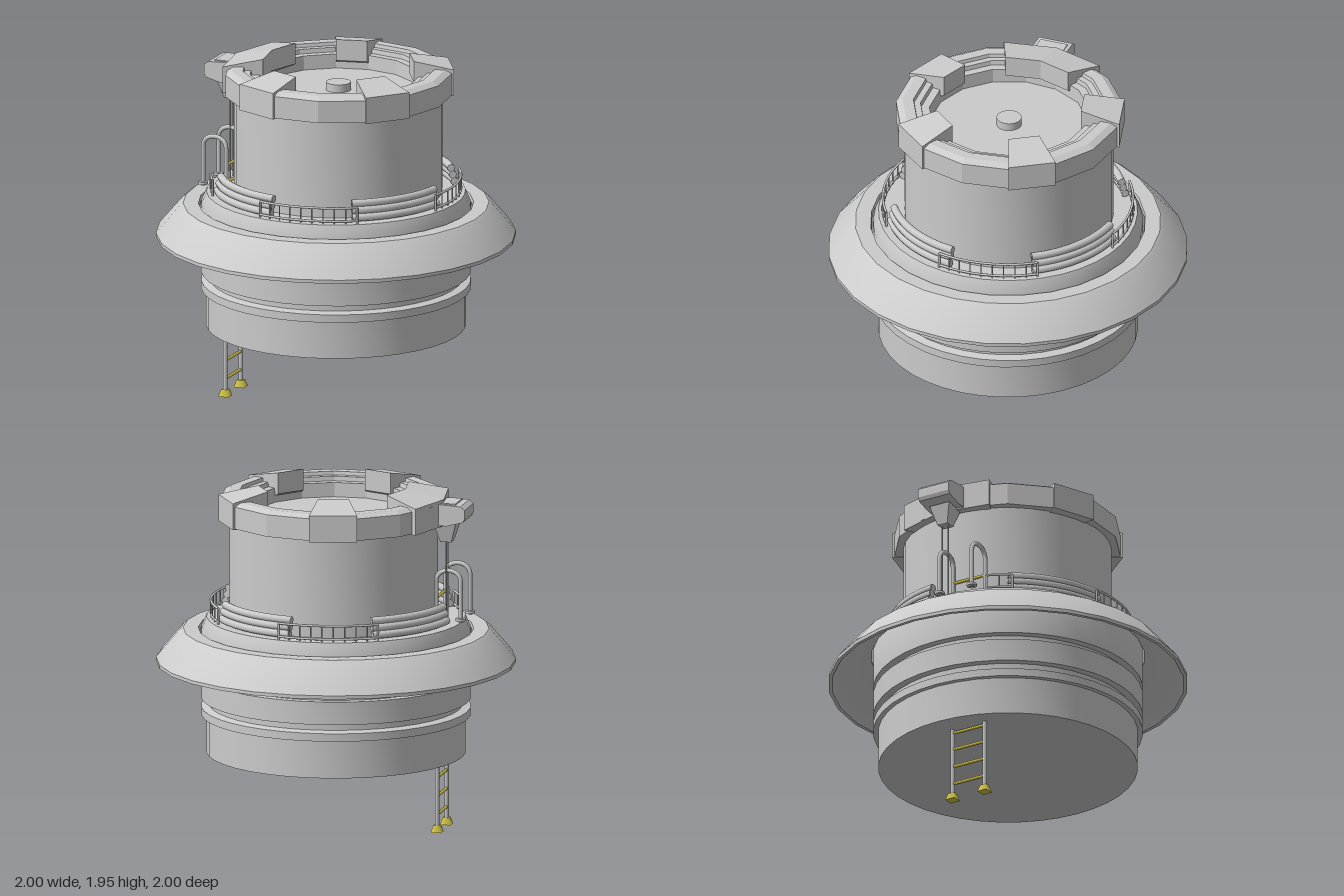
import * as THREE from 'three';
import { toCreasedNormals } from 'three/addons/utils/BufferGeometryUtils.js';

const DEG = Math.PI / 180;
const grey = new THREE.MeshStandardMaterial({ color: 0xcccccc, side: THREE.DoubleSide });
const facet = new THREE.MeshStandardMaterial({ color: 0xcccccc, side: THREE.DoubleSide, flatShading: true });
const yellow = new THREE.MeshStandardMaterial({ color: 0xd6c94c });

const vec = (x, y, z) => new THREE.Vector3(x, y, z);
const points = (list) => list.map(([x, y]) => new THREE.Vector2(x, y));

// Point on a circle around the axis; 0 degrees faces the front, 90 the model's left
const polar = (deg, r, y) => vec(r * Math.sin(deg * DEG), y, r * Math.cos(deg * DEG));

function add(parent, name, geometry, material = grey) {
  const mesh = new THREE.Mesh(geometry, material);
  mesh.name = name;
  parent.add(mesh);
  return mesh;
}

function group(parent, name) {
  const g = new THREE.Group();
  g.name = name;
  parent.add(g);
  return g;
}

// Smooth round part with sharp profile corners
const turned = (profile, segments) =>
  toCreasedNormals(new THREE.LatheGeometry(points(profile), segments), 30 * DEG);

// Straight rod between two points
function rod(parent, name, a, b, r, material = grey, sides = 8) {
  const d = b.clone().sub(a);
  const m = add(parent, name, new THREE.CylinderGeometry(r, r, d.length(), sides), material);
  m.position.copy(a).add(b).multiplyScalar(0.5);
  m.quaternion.setFromUnitVectors(vec(0, 1, 0), d.normalize());
  return m;
}

// Bent tube following an arc around the axis
function arcTube(parent, name, from, to, r, y, thickness) {
  const path = [];
  for (let i = 0; i <= 8; i++) path.push(polar(from + (to - from) * i / 8, r, y));
  add(parent, name, new THREE.TubeGeometry(new THREE.CatmullRomCurve3(path), 20, thickness, 8));
  for (const [end, dir] of [[path[0], -1], [path[8], 1]]) {
    const cap = add(parent, name + 'Cap', new THREE.CircleGeometry(thickness, 8));
    cap.position.copy(end);
    cap.rotation.y = (dir < 0 ? from - 90 : to + 90) * DEG;
  }
}

// Part of a faceted ring with closed ends
function ringBlock(parent, name, profile, start, length, segments) {
  const g = group(parent, name);
  const loop = [...profile, profile[0]];
  add(g, 'blockSurface', new THREE.LatheGeometry(points(loop), segments, start * DEG, length * DEG), facet);
  for (const deg of [start, start + length]) {
    const end = new THREE.ShapeGeometry(new THREE.Shape(points(profile)));
    add(g, 'blockEnd', end.rotateY((deg - 90) * DEG), facet);
  }
}

export function createModel() {
  const model = new THREE.Group();

  // Lower hull with stepped bands and the sloping collar
  add(model, 'hull', turned([
    [0, 0.43], [0.722, 0.43], [0.722, 0.645], [0.75, 0.645], [0.75, 0.69], [0.705, 0.7],
    [0.705, 0.74], [0.75, 0.74], [0.75, 0.87], [0.705, 0.87], [0.705, 0.91], [0.75, 0.91],
    [0.75, 1.13], [0.72, 1.2], [0, 1.2]], 40));

  // Hollow skirt, open underneath
  add(model, 'skirt', turned([
    [0.76, 1.11], [0.94, 0.985], [0.98, 0.94], [1, 0.94], [1, 0.96], [0.98, 0.985],
    [0.87, 1.115], [0.85, 1.13], [0.765, 1.13], [0.76, 1.11]], 28));

  // Tower with its closed top and the round knob
  const tower = group(model, 'tower');
  tower.position.set(0.01, 0, -0.01);
  add(tower, 'towerBody', turned([[0.58, 1.19], [0.58, 1.78], [0, 1.78]], 40));
  const knob = add(tower, 'knob', new THREE.CylinderGeometry(0.07, 0.07, 0.05, 20));
  knob.position.y = 1.8;

  // Faceted crown with inner steps and five clamps
  const crown = group(tower, 'crown');
  add(crown, 'crownRing', new THREE.LatheGeometry(points([
    [0.57, 1.76], [0.632, 1.76], [0.632, 1.885], [0.595, 1.905], [0.535, 1.905], [0.53, 1.885],
    [0.495, 1.885], [0.49, 1.86], [0.445, 1.86], [0.44, 1.78]]), 15, -34 * DEG), facet);
  const clamp = [[0.42, 1.83], [0.56, 1.755], [0.645, 1.755], [0.645, 1.905], [0.42, 1.95]];
  for (let i = 0; i < 4; i++) ringBlock(crown, 'clamp', clamp, -34 + 72 * i, 24, 1);
  ringBlock(crown, 'wideClamp', clamp, -121, 54, 2);

  // Hoist housing on the right side of the crown, with funnel and cables
  const hoist = group(model, 'hoist');
  const side = new THREE.Shape(points([
    [-0.56, 1.765], [-0.66, 1.765], [-0.755, 1.79], [-0.765, 1.81], [-0.765, 1.86],
    [-0.74, 1.88], [-0.56, 1.89]]));
  const housing = add(hoist, 'housing', new THREE.ExtrudeGeometry(side, { depth: 0.2, bevelEnabled: false }), facet);
  housing.position.z = -0.11;
  const lid = add(hoist, 'housingLid', new THREE.BoxGeometry(0.085, 0.012, 0.16), facet);
  lid.position.set(-0.665, 1.884, -0.01);
  const funnel = add(hoist, 'funnel',
    new THREE.CylinderGeometry(0.09, 0.045, 0.11, 4).rotateY(45 * DEG), facet);
  funnel.position.set(-0.64, 1.715, -0.01);
  for (const z of [-0.03, 0.01]) rod(hoist, 'cable', vec(-0.64, 1.2, z), vec(-0.64, 1.68, z), 0.004);

  // Ladder below the hull
  const ladder = group(model, 'ladder');
  const railZ = [0, 0.21];
  for (const z of railZ) {
    rod(ladder, 'ladderRail', vec(-0.58, 0.03, z), vec(-0.58, 0.45, z), 0.013);
    const foot = add(ladder, 'ladderFoot', new THREE.CylinderGeometry(0.025, 0.042, 0.04, 4).rotateY(45 * DEG), yellow);
    foot.position.set(-0.58, 0.02, z);
  }
  for (const y of [0.1, 0.205, 0.31, 0.41])
    rod(ladder, 'rung', vec(-0.58, y, 0), vec(-0.58, y, 0.21), 0.009, yellow);

  // Boarding hoops at the head of the ladder
  const boarding = group(model, 'boardingHoops');
  for (const z of railZ) {
    const path = new THREE.CurvePath();
    path.add(new THREE.LineCurve3(vec(-0.715, 1.2, z), vec(-0.715, 1.43, z)));
    path.add(new THREE.CubicBezierCurve3(vec(-0.715, 1.43, z), vec(-0.715, 1.51, z),
      vec(-0.575, 1.51, z), vec(-0.575, 1.43, z)));
    path.add(new THREE.LineCurve3(vec(-0.575, 1.43, z), vec(-0.575, 1.19, z)));
    add(boarding, 'hoop', new THREE.TubeGeometry(path, 40, 0.013, 8));
    const plate = add(boarding, 'hoopFoot', new THREE.CylinderGeometry(0.028, 0.028, 0.015, 10));
    plate.position.set(-0.715, 1.215, z);
  }
  for (const y of [1.23, 1.33])
    rod(boarding, 'upperRung', vec(-0.575, y, 0), vec(-0.575, y, 0.21), 0.009, yellow);

  // Four padded bumpers alternating with four thin railings on the deck
  for (let k = 0; k < 4; k++) {
    const turn = 90 * k;
    const bumper = group(model, 'bumper');
    for (const [r, y] of [[0.665, 1.225], [0.655, 1.265], [0.645, 1.303]])
      arcTube(bumper, 'bumperRoll', turn - 58, turn - 8, r, y, 0.022);

    const railing = group(model, 'railing');
    const from = k === 3 ? turn + 22 : turn - 13; // shorter beside the ladder
    const to = turn + 34;
    for (const y of [1.215, 1.29]) arcTube(railing, 'railingBar', from, to, 0.695, y, 0.007);
    const count = Math.round((to - from) / 5);
    for (let i = 0; i <= count; i++) {
      const deg = from + (to - from) * i / count;
      const thick = i === 0 || i === count ? 0.007 : 0.004;
      rod(railing, 'railingPost', polar(deg, 0.695, 1.19), polar(deg, 0.695, 1.29), thick, grey, 6);
    }
  }
  return model;
}
